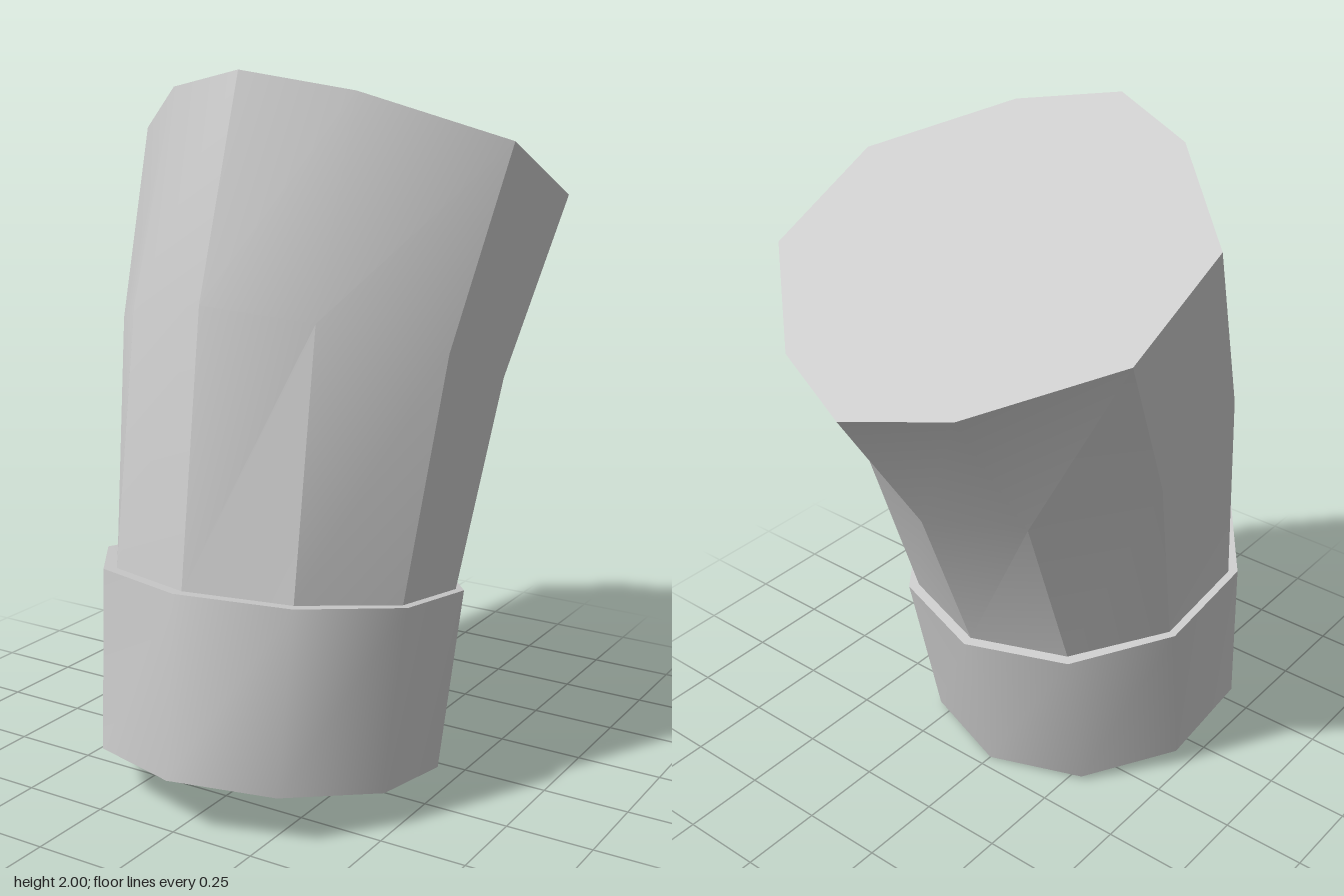
import * as THREE from 'three';
import { toCreasedNormals } from 'three/addons/utils/BufferGeometryUtils.js';

const material = new THREE.MeshStandardMaterial({ color: 0xcccccc, side: THREE.DoubleSide });

// Tilted ten-sided ring: front point, back point (z, y), half width, half width of the front and back facets
function ring([fz, fy], [bz, by], half, facet = 0.29) {
  const side = [[0, 1], [facet, 0.81], [half, 0.316], [half, -0.316], [facet, -0.81], [0, -1]];
  const mirrored = side.slice(1, 5).reverse().map(([x, t]) => [-x, t]);
  return [...side, ...mirrored].map(([x, t]) => {
    const k = (1 + t) / 2;
    return new THREE.Vector3(x, by + (fy - by) * k, bz + (fz - bz) * k);
  });
}

// Skin between successive rings, going upwards on the outside
function loft(name, rings, crease, capped = false) {
  const n = rings[0].length;
  const points = rings.flat();
  const index = [];
  for (let j = 0; j < rings.length - 1; j++) {
    for (let i = 0; i < n; i++) {
      const a = j * n + i, b = j * n + (i + 1) % n;
      index.push(a, b, b + n, a, b + n, a + n);
    }
  }
  if (capped) {
    const start = (rings.length - 1) * n;
    for (let i = 1; i < n - 1; i++) index.push(start, start + i, start + i + 1);
  }
  const geometry = new THREE.BufferGeometry().setFromPoints(points);
  geometry.setIndex(index);
  const mesh = new THREE.Mesh(toCreasedNormals(geometry, THREE.MathUtils.degToRad(crease)), material);
  mesh.name = name;
  return mesh;
}

export function createModel() {
  const group = new THREE.Group();
  group.name = 'bentSleeve';

  const seam = ring([0.69, 0.665], [-0.29, 0.515], 0.48);

  // Bent, widening sleeve with a flat closed end
  group.add(loft('sleeve', [
    seam,
    ring([0.59, 1.41], [-0.48, 1.02], 0.537),
    ring([0.4, 2], [-0.77, 1.46], 0.605),
  ], 30, true));

  // Cuff, open below, with a narrow lip running in to the sleeve
  group.add(loft('cuff', [
    ring([0.775, 0.16], [-0.21, 0.0], 0.475),
    ring([0.73, 0.67], [-0.32, 0.51], 0.503, 0.31),
    seam,
  ], 50));

  return group;
}
